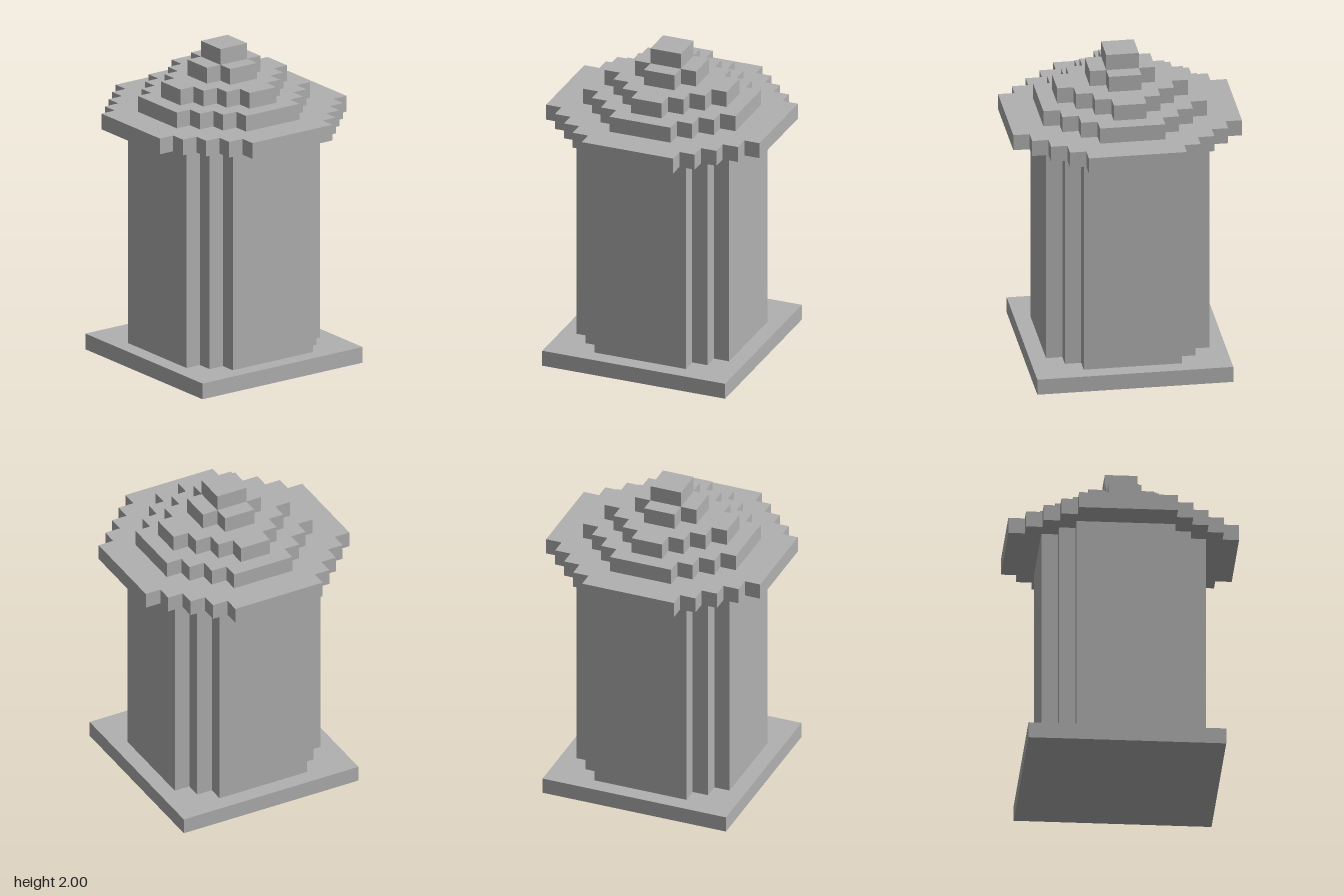
import * as THREE from 'three';

const STEP = 0.1;

// Four-way symmetric outline: flat sides at distance `reach`, half-width `flat`,
// joined at the corners by a staircase of STEP-sized notches.
function steppedShape(flat, reach) {
  const count = Math.round((reach - flat) / STEP);
  const corner = [];
  for (let i = 0; i <= count; i++) {
    const x = reach - i * STEP, y = flat + i * STEP;
    if (i > 0) corner.push([x, y - STEP]);
    corner.push([x, y]);
  }
  const points = [];
  for (let q = 0; q < 4; q++) {
    for (const [x, y] of corner) {
      points.push([new THREE.Vector2(x, y), new THREE.Vector2(-y, x),
        new THREE.Vector2(-x, -y), new THREE.Vector2(y, -x)][q]);
    }
  }
  return new THREE.Shape(points);
}

export function createModel() {
  const model = new THREE.Group();
  model.name = 'steppedPillar';
  const stone = new THREE.MeshStandardMaterial({ color: 0xb0b0b0 });
  stone.name = 'grey stone';

  const addLayer = (name, flat, reach, bottom, top) => {
    const geometry = new THREE.ExtrudeGeometry(steppedShape(flat, reach),
      { depth: top - bottom, bevelEnabled: false });
    geometry.rotateX(-Math.PI / 2);
    const mesh = new THREE.Mesh(geometry, stone);
    mesh.name = name;
    mesh.position.y = bottom;
    model.add(mesh);
  };

  // Square plinth and notched shaft
  addLayer('basePlate', 0.6, 0.6, 0, 0.1);
  addLayer('shaft', 0.3, 0.5, 0.1, 1.5);

  // Stepped roof, from the overhanging eave to the finial
  addLayer('eave', 0.3, 0.7, 1.5, 1.6);
  addLayer('lowerRoofTier', 0.2, 0.5, 1.6, 1.7);
  addLayer('middleRoofTier', 0.1, 0.4, 1.7, 1.8);
  addLayer('upperRoofTier', 0.1, 0.2, 1.8, 1.9);
  addLayer('finial', 0.1, 0.1, 1.9, 2);

  return model;
}
